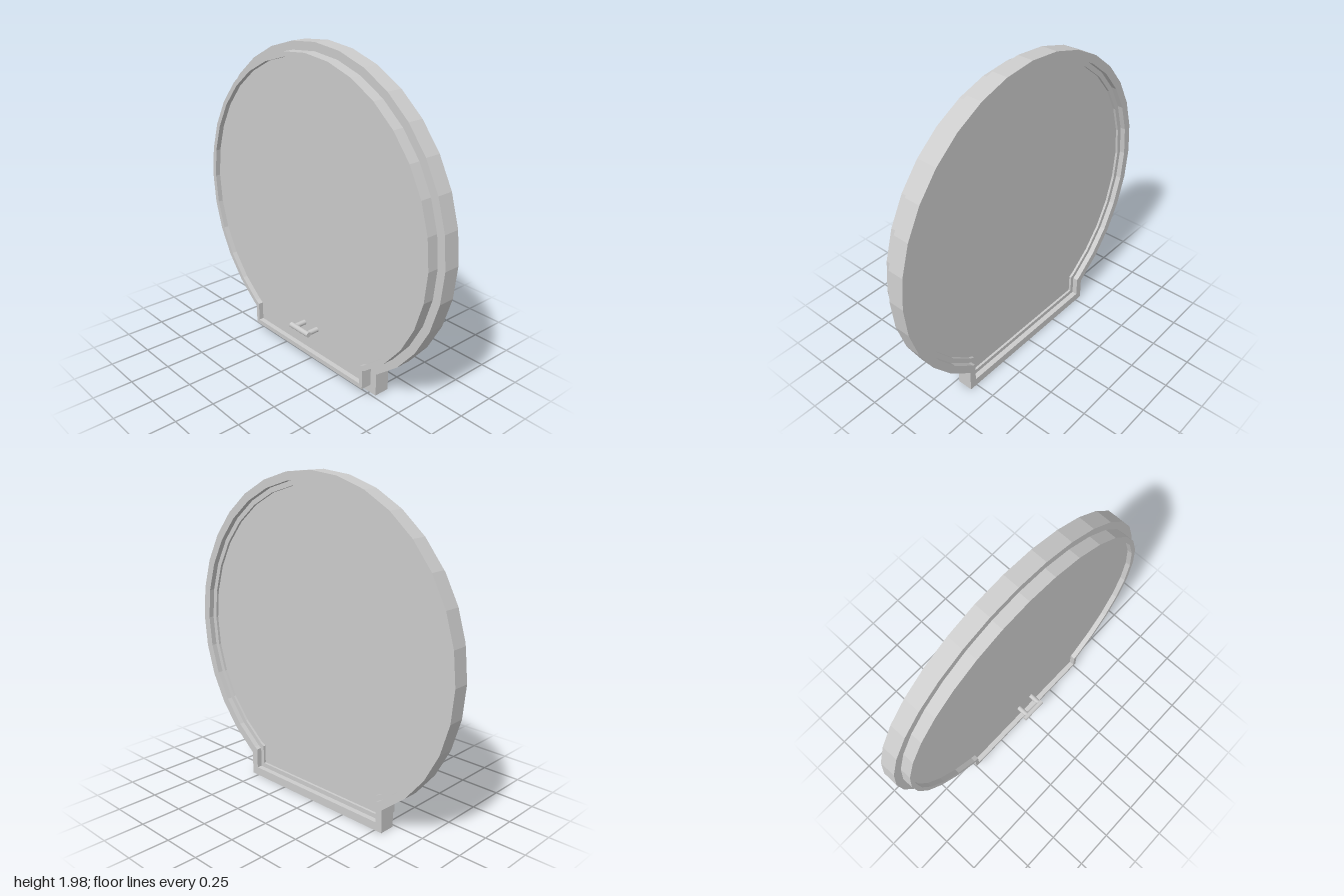
import * as THREE from 'three';

const CENTRE_Y = 0.98;
const STEP = Math.PI / 16;

// Round disc outline (32-sided) cut off by a rectangular foot
function outline(radius, halfWidth, bottom) {
  const points = [];
  for (let i = -5; i <= 21; i++) {
    const a = i * STEP;
    points.push(new THREE.Vector2(radius * Math.cos(a), CENTRE_Y + radius * Math.sin(a)));
  }
  const shoulder = points[0].y - (points[0].x - halfWidth) * 0.534;
  points.push(
    new THREE.Vector2(-halfWidth, shoulder),
    new THREE.Vector2(-halfWidth, bottom),
    new THREE.Vector2(halfWidth, bottom),
    new THREE.Vector2(halfWidth, shoulder)
  );
  return points;
}

export function createModel() {
  const group = new THREE.Group();
  const flat = new THREE.MeshStandardMaterial({ color: 0xcccccc, flatShading: true });
  const smooth = new THREE.MeshStandardMaterial({ color: 0xcccccc });

  const add = (name, geometry, material, x = 0, y = 0, z = 0) => {
    const mesh = new THREE.Mesh(geometry, material);
    mesh.name = name;
    mesh.position.set(x, y, z);
    group.add(mesh);
    return mesh;
  };

  const slab = (name, outer, inner, back, front) => {
    const shape = new THREE.Shape(outer);
    if (inner) shape.holes.push(new THREE.Path(inner));
    const geometry = new THREE.ExtrudeGeometry(shape, { depth: front - back, bevelEnabled: false });
    add(name, geometry, flat, 0, 0, back);
  };

  const wide = outline(1, 0.55, 0);
  const middle = outline(0.95, 0.505, 0.052);
  const narrow = outline(0.92, 0.48, 0.08);

  // Stepped rim and the door panel set inside it
  slab('backFrame', wide, middle, -0.118, -0.018);
  slab('frontFrame', middle, narrow, -0.085, 0.052);
  slab('doorPanel', narrow, null, -0.07, 0.02);

  // Small bar handle on two posts
  const bar = add('handleBar', new THREE.CylinderGeometry(0.017, 0.017, 0.166, 16), smooth, 0.003, 0.242, 0.1);
  bar.rotation.z = Math.PI / 2;
  for (const x of [-0.048, 0.068]) {
    const post = add('handlePost', new THREE.CylinderGeometry(0.016, 0.016, 0.09, 16), smooth, x, 0.242, 0.055);
    post.rotation.x = Math.PI / 2;
  }

  return group;
}
